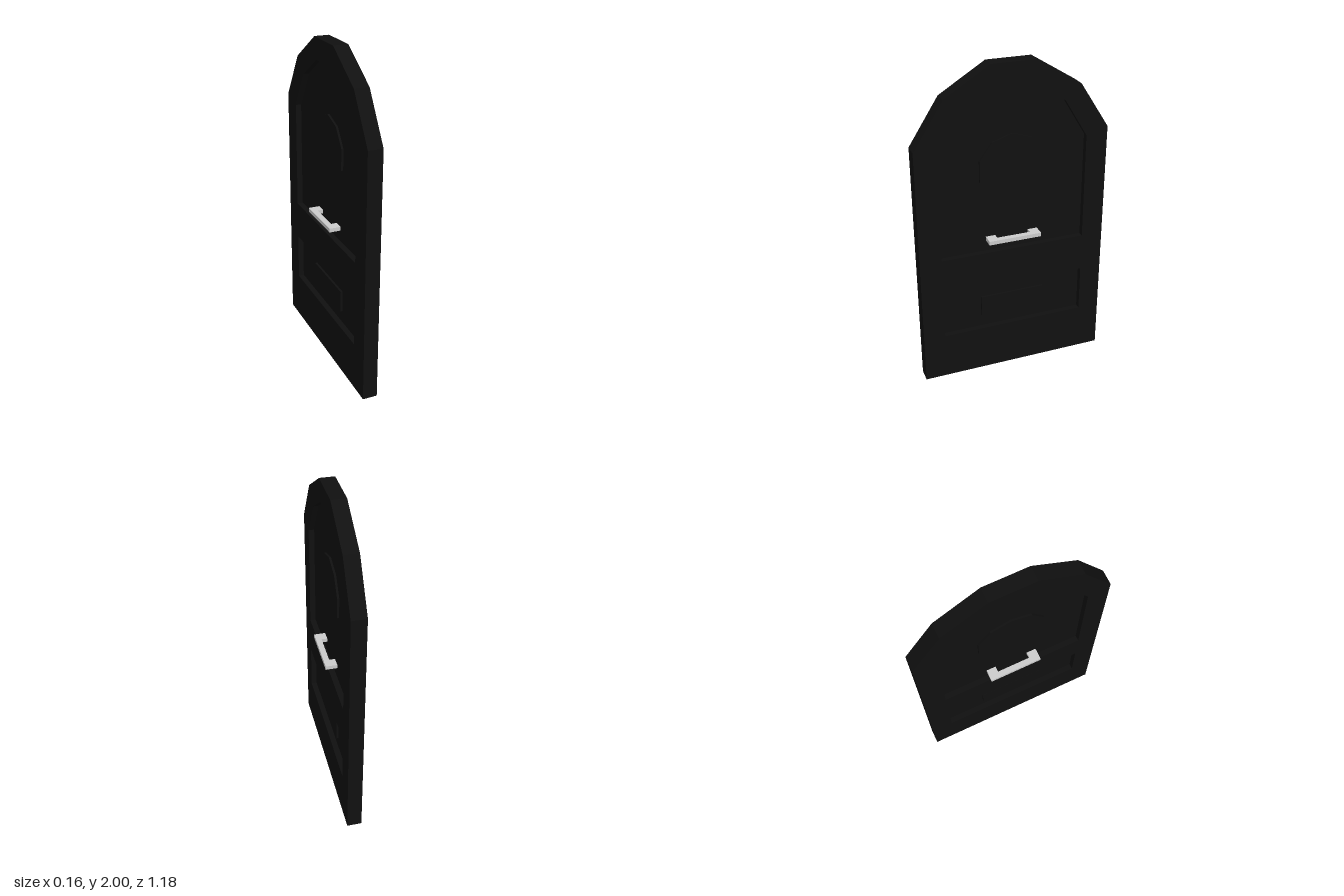
import * as THREE from 'three';

const black = new THREE.MeshStandardMaterial({ color: 0x101010, flatShading: true });
const grey = new THREE.MeshStandardMaterial({ color: 0xcccccc, flatShading: true });

// Mirrors the right half of an outline to close it
const mirrored = (half) => [...half, ...half.slice().reverse().map(([a, b]) => [-a, b])]
  .map(([a, b]) => new THREE.Vector2(a, b));

// Extrudes an outline drawn in the z-y plane, centred on x = 0
function slab(name, points, thickness, holes = []) {
  const shape = new THREE.Shape(points);
  shape.holes = holes.map((h) => new THREE.Path(h));
  const geo = new THREE.ExtrudeGeometry(shape, { depth: thickness, bevelEnabled: false });
  geo.translate(0, 0, -thickness / 2).rotateY(-Math.PI / 2);
  const mesh = new THREE.Mesh(geo, black);
  mesh.name = name;
  return mesh;
}

function box(name, w, h, d, x, y, z) {
  const mesh = new THREE.Mesh(new THREE.BoxGeometry(w, h, d), grey);
  mesh.name = name;
  mesh.position.set(x, y, z);
  return mesh;
}

// Bar standing on two feet that reach down to the recessed panel
function handle(name) {
  const group = new THREE.Group();
  group.name = name;
  group.add(box('handleBar', 0.035, 0.024, 0.33, 0.0635, 0.922, 0));
  for (const s of [-1, 1]) {
    group.add(box('handleFoot', 0.038, 0.024, 0.06, 0.027, 0.922, s * 0.135));
  }
  return group;
}

export function createModel() {
  const door = new THREE.Group();
  door.name = 'archedDoor';

  const outline = mirrored([[0.59, 0], [0.59, 1.55], [0.41, 1.83], [0.135, 2]]);
  const upper = mirrored([[0.455, 0.84], [0.455, 1.51], [0.315, 1.74], [0.11, 1.87]]);
  const lower = mirrored([[0.455, 0.3], [0.455, 0.6]]);

  // Frame with two openings, each filled by a thin panel
  door.add(slab('doorFrame', outline, 0.09, [upper, lower]));
  door.add(slab('upperPanel', upper, 0.02));
  door.add(slab('lowerPanel', lower, 0.02));

  // Raised ten-sided medallion and rectangular plate, showing on both faces
  const decagon = Array.from({ length: 10 }, (_, i) => {
    const a = Math.PI / 2 + (i * Math.PI) / 5;
    return new THREE.Vector2(0.212 * Math.cos(a), 1.365 + 0.212 * Math.sin(a));
  });
  door.add(slab('medallion', decagon, 0.045));
  door.add(slab('raisedPlate', mirrored([[0.205, 0.38], [0.205, 0.515]]), 0.045));

  // One handle on each face
  const left = handle('leftHandle');
  left.position.z = 0.002;
  const right = handle('rightHandle');
  right.rotation.y = Math.PI;
  right.position.z = 0.005;
  door.add(left, right);

  return door;
}
